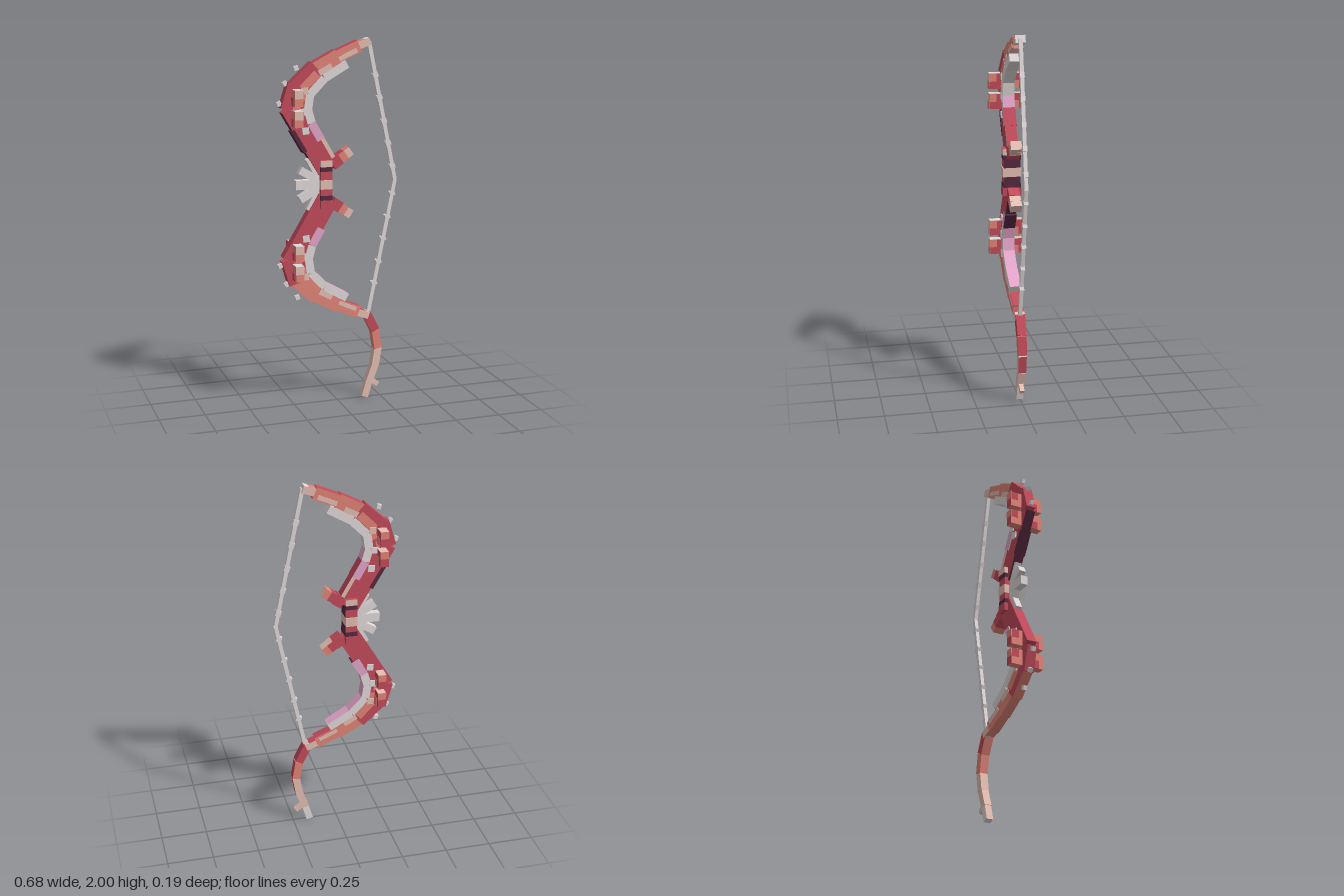
import * as THREE from 'three';

const mat = (name, hex) => {
  const m = new THREE.MeshStandardMaterial({ color: hex });
  m.name = name;
  return m;
};

export function createModel() {
  const bow = new THREE.Group();
  bow.name = 'bow';
  const crimson = mat('crimson', 0xc34b5b), coral = mat('coral', 0xe38578), tan = mat('tan', 0xe6bfb3);
  const grey = mat('pale grey', 0xe2dada), pink = mat('pink', 0xe5a6cb), dark = mat('dark plum', 0x562a40);

  // material is one colour or six: far end, near end, left of travel, right of travel, front, back
  const box = (name, x, y, z, w, h, d, material, angle = 0) => {
    const mesh = new THREE.Mesh(new THREE.BoxGeometry(w, h, d), material);
    mesh.name = name;
    mesh.position.set(x, y, z);
    mesh.rotation.z = angle;
    bow.add(mesh);
  };
  const bar = (name, [x1, y1], [x2, y2], width, depth, material) =>
    box(name, (x1 + x2) / 2, (y1 + y2) / 2, 0, Math.hypot(x2 - x1, y2 - y1), width, depth,
      material, Math.atan2(y2 - y1, x2 - x1));

  // Upper and lower halves mirror each other about the grip
  for (const upper of [true, false]) {
    const side = upper ? 'upper' : 'lower';
    const Y = (y) => (upper ? y : 2.46 - y);
    const P = (x, y) => [x, Y(y)];
    const faces = (outer, inner, front, back = front, end = front) =>
      (upper ? [end, end, outer, inner, front, back] : [end, end, inner, outer, front, back]);
    const spine = upper ? crimson : coral;
    const tipInside = upper ? tan : crimson;
    const tipEnd = upper ? grey : tan;

    // Limb, tapering to the tip
    [
      [-0.06, 1.31, -0.262, 1.648, 0.118, faces(upper ? dark : crimson, upper ? crimson : dark, crimson)],
      [-0.26, 1.625, -0.22, 1.76, 0.12, faces(crimson, crimson, crimson)],
      [-0.245, 1.72, -0.115, 1.84, 0.11, faces(spine, coral, upper ? crimson : coral, crimson, crimson)],
      [-0.15, 1.82, 0, 1.9, 0.09, faces(spine, tan, coral)],
      [-0.02, 1.898, 0.115, 1.955, 0.065, faces(spine, tipInside, coral)],
      [0.09, 1.95, 0.152, 1.972, 0.04, faces(coral, upper ? grey : crimson, tan)],
      [0.152, 1.972, 0.175, 1.98, 0.04, faces(tipEnd, tipEnd, tan, tan, tipEnd)],
    ].forEach(([x1, y1, x2, y2, w, m], i) =>
      bar(side + 'Limb' + (i + 1), P(x1, y1), P(x2, y2), w, 0.056 - i * 0.0004, m));

    // Painted patches on both faces of the limb
    [
      [-0.2, 1.74, -0.12, 1.82, 0.045, coral],
      [-0.2, 1.68, -0.185, 1.74, 0.035, coral],
      [-0.11, 1.82, -0.04, 1.857, 0.03, tan],
      [0.0, 1.89, 0.1, 1.935, 0.024, faces(tan, tipInside, tan)],
      [-0.235, 1.63, -0.225, 1.67, 0.04, coral],
    ].forEach(([x1, y1, x2, y2, w, m]) => bar(side + 'Patch', P(x1, y1), P(x2, y2), w, 0.06, m));

    // Pale inner lining, pink towards the grip
    const lining = [[-0.1, 1.47], [-0.152, 1.56], [-0.172, 1.63], [-0.16, 1.71], [-0.08, 1.793], [0.045, 1.865]];
    const liningInside = upper ? [crimson, pink, grey, grey, grey] : [dark, pink, pink, pink, pink];
    liningInside.forEach((inside, i) => {
      const face = i === 0 ? pink : grey;
      bar(side + 'Lining', P(...lining[i]), P(...lining[i + 1]), 0.045, 0.066 - i * 0.0005,
        faces(grey, inside, face, face, i === 4 ? grey : inside));
    });

    // Cross blocks standing out front and back, with painted corners
    for (const y of [1.698, 1.588]) {
      const cy = Y(y);
      box(side + 'CrossBlock', -0.238, cy, 0, 0.046, 0.084, 0.186, [crimson, coral, tan, coral, tan, crimson]);
      box('blockFrontPaint', -0.238, cy - 0.022, 0.093, 0.046, 0.04, 0.003, coral);
      box('blockBackPaint', -0.238, cy + 0.022, -0.093, 0.046, 0.04, 0.003, coral);
      box('blockInnerPaint', -0.215, cy + 0.02, 0.073, 0.003, 0.044, 0.04, coral);
      box('blockInnerPaint', -0.215, cy - 0.02, -0.05, 0.003, 0.044, 0.04, coral);
      box('blockOuterPaint', -0.261, cy - 0.02, 0.05, 0.003, 0.044, 0.04, crimson);
      box('blockOuterPaint', -0.261, cy + 0.02, -0.07, 0.003, 0.044, 0.04, crimson);
      box('blockTopPaint', -0.237, cy + 0.042, 0.046, 0.044, 0.003, 0.093, grey);
    }

    // Small studs along the outside and on the limb faces
    for (const [x, y, a] of [[-0.322, 1.665, 0.4], [-0.288, 1.77, 0.6], [-0.228, 1.848, 0.3]])
      box(side + 'Stud', x, Y(y), 0, 0.024, 0.024, 0.02, grey, a);
    for (const [x, y, m] of [[-0.19, 1.73, tan], [-0.185, 1.52, grey], [-0.2, 1.62, grey]])
      box(side + 'FaceStud', x, Y(y), 0, 0.036, 0.036, 0.07, m, 0.1);

    // Prong beside the grip
    bar(side + 'ProngBase', P(-0.035, 1.332), P(0.01, 1.363), 0.06, 0.06, crimson);
    bar(side + 'ProngMiddle', P(0.01, 1.363), P(0.04, 1.384), 0.052, 0.06, faces(crimson, tan, coral, crimson));
    bar(side + 'ProngTip', P(0.04, 1.384), P(0.069, 1.404), 0.05, 0.06, faces(coral, tan, tan, coral, tan));

    // Slanted rays of the fan
    bar(side + 'OuterRay', P(-0.1, 1.25), P(-0.165, 1.37), 0.034, 0.036, grey);
    bar(side + 'InnerRay', P(-0.09, 1.24), P(-0.212, 1.31), 0.042, 0.038, grey);

    // Bowstring
    const tip = P(0.174, 1.98), nock = [0.327, 1.23];
    bar(side + 'String', tip, nock, 0.021, 0.02, grey);
    for (const t of [0.24, 0.4, 0.57, 0.73, 0.9])
      box(side + 'StringKnot', tip[0] + (nock[0] - tip[0]) * t, tip[1] + (nock[1] - tip[1]) * t, 0,
        0.03, 0.028, 0.024, grey, 0.35);
  }
  bar('middleRay', [-0.1, 1.23], [-0.238, 1.23], 0.05, 0.04, grey);

  // Edges found on the upper limb only
  bar('upperInnerEdge', [-0.03, 1.37], [-0.1, 1.49], 0.022, 0.058, [tan, tan, tan, crimson, tan, tan]);
  bar('upperDarkEdge', [-0.185, 1.405], [-0.255, 1.523], 0.022, 0.058, dark);

  // Banded grip, darker on the string side
  const shaded = [dark, crimson, crimson, crimson, crimson, crimson];
  [
    [1.1, 1.145, 0.1, crimson], [1.145, 1.17, 0.094, dark], [1.17, 1.205, 0.09, shaded],
    [1.205, 1.255, 0.1, tan], [1.255, 1.3, 0.09, shaded], [1.3, 1.325, 0.094, dark],
    [1.325, 1.36, 0.1, [tan, tan, crimson, crimson, tan, tan]],
  ].forEach(([a, b, d, m]) => box('gripBand', -0.075, (a + b) / 2, 0, 0.064, b - a, d, m));

  // Curved tail below the lower tip
  const tail = [[0.165, 0.49], [0.215, 0.39], [0.232, 0.285], [0.215, 0.185], [0.18, 0.09], [0.156, 0.008]];
  const tailColours = [
    [crimson, crimson, crimson, coral, crimson, crimson],
    [coral, coral, crimson, coral, coral, coral],
    [tan, tan, crimson, tan, tan, tan],
    tan,
    [grey, tan, grey, tan, tan, grey],
  ];
  tail.slice(1).forEach((b, i) =>
    bar('tail' + (i + 1), tail[i], b, 0.046 - i * 0.002, 0.05 - i * 0.003, tailColours[i]));
  bar('tailSpur', [0.195, 0.1], [0.235, 0.07], 0.026, 0.024, tan);

  return bow;
}
